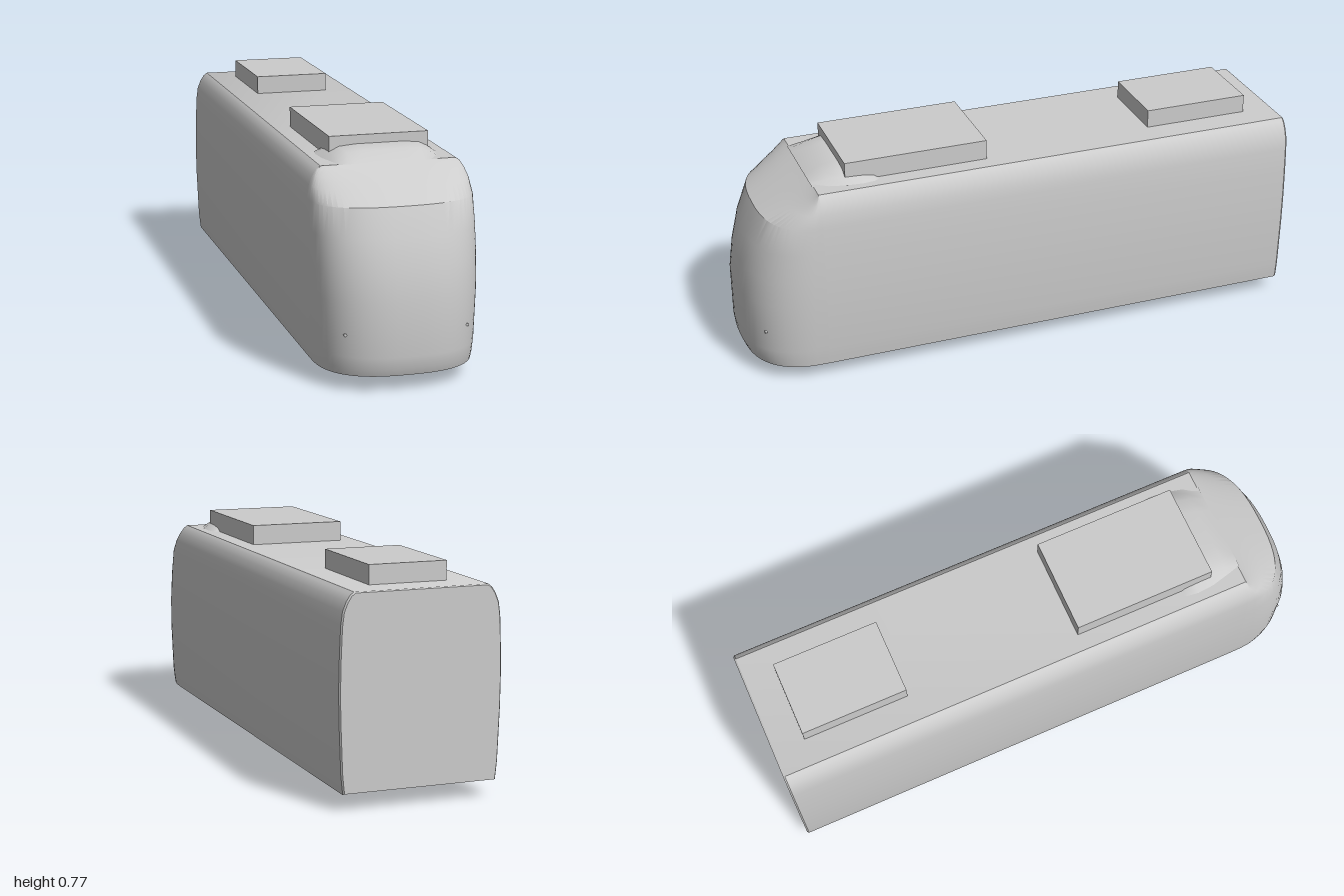
import * as THREE from 'three';
import { toCreasedNormals } from 'three/addons/utils/BufferGeometryUtils.js';

// Half section of the car: half width, height, and how far the nose reaches there
const SECTION = [
  [0.265, 0.055, 0.985], [0.268, 0.08, 0.995], [0.272, 0.12, 1], [0.279, 0.3, 1],
  [0.28, 0.4, 0.985], [0.278, 0.5, 0.96], [0.274, 0.595, 0.92], [0.268, 0.64, 0.843],
  [0.256, 0.67, 0.791], [0.243, 0.69, 0.757], [0.23, 0.7, 0.74],
];
const NOSE_Z = 0.74, BACK_Z = -1, FLOOR_Y = 0.055, ROOF_Y = 0.7;

// Skin over rows of points; outside is on (along row) x (row to row)
function loft(rows, crease = 0.6) {
  const n = rows[0].length, index = [];
  for (let i = 0; i < rows.length - 1; i++) {
    for (let j = 0; j < n - 1; j++) {
      const a = i * n + j, d = a + n;
      index.push(a, a + 1, d + 1, a, d + 1, d);
    }
  }
  const g = new THREE.BufferGeometry();
  g.setAttribute('position', new THREE.Float32BufferAttribute(rows.flat(2), 3));
  g.setIndex(index);
  return toCreasedNormals(g, crease);
}

// Point on the rounded plan of the nose; t runs 0..1 from -x to +x
function nosePoint([w, y, zf], t) {
  const a = Math.PI * (1 - t), e = 2 / 2.6;
  const c = Math.cos(a), s = Math.max(0, Math.sin(a));
  return [w * Math.sign(c) * Math.abs(c) ** e, y, NOSE_Z + (zf - NOSE_Z) * s ** e];
}

export function createModel() {
  const model = new THREE.Group();
  const grey = new THREE.MeshStandardMaterial({ color: 0xcccccc });
  grey.name = 'bodyGrey';
  const add = (name, geometry, x = 0, y = 0, z = 0) => {
    const mesh = new THREE.Mesh(geometry, grey);
    mesh.name = name;
    mesh.position.set(x, y, z);
    model.add(mesh);
    return mesh;
  };

  // Sides and roof, with a tiny bevel at the back
  const outline = [
    ...SECTION.map(([w, y]) => [w, y]),
    ...SECTION.map(([w, y]) => [-w, y]).reverse(),
  ];
  const inset = outline.map(([x, y]) => [x * 0.985, 0.38 + (y - 0.38) * 0.99]);
  const ring = (pts, z) => pts.map(([x, y]) => [x, y, z]);
  add('bodyShell', loft([ring(inset, BACK_Z), ring(outline, BACK_Z + 0.006), ring(outline, NOSE_Z)]));

  // Flat back wall
  const wall = new THREE.Shape(inset.map(([x, y]) => new THREE.Vector2(x, y)));
  add('backWall', new THREE.ShapeGeometry(wall).rotateY(Math.PI), 0, 0, BACK_Z);

  // Rounded nose with sloped windscreen
  const steps = 32;
  add('nose', loft(SECTION.map((s) => Array.from({ length: steps + 1 }, (_, j) => nosePoint(s, j / steps)))));

  // Floor with a slot above each wheel
  const edge = Array.from({ length: steps + 1 }, (_, j) => nosePoint(SECTION[0], j / steps));
  const floor = new THREE.Shape([
    new THREE.Vector2(-0.265, BACK_Z), new THREE.Vector2(0.265, BACK_Z),
    ...edge.reverse().map(([x, , z]) => new THREE.Vector2(x, z)),
  ]);
  for (const side of [-1, 1]) {
    for (const z of [-0.01, -0.39]) {
      const [x0, x1] = side > 0 ? [0.15, 0.19] : [-0.19, -0.15];
      floor.holes.push(new THREE.Path([
        new THREE.Vector2(x0, z - 0.062), new THREE.Vector2(x0, z + 0.062),
        new THREE.Vector2(x1, z + 0.062), new THREE.Vector2(x1, z - 0.062),
      ]));
      // Eight-sided wheel standing on a corner
      const wheel = new THREE.CylinderGeometry(0.06, 0.06, 0.02, 8).toNonIndexed();
      wheel.rotateZ(Math.PI / 2);
      wheel.computeVertexNormals();
      add('wheel', wheel, side * 0.16, 0.06, z);
    }
    // Small front lamps
    const lamp = new THREE.CylinderGeometry(0.005, 0.005, 0.008, 12).rotateX(Math.PI / 2);
    add('lamp', lamp, side * 0.205, 0.193, 0.944);
  }
  add('floor', new THREE.ShapeGeometry(floor).rotateX(Math.PI / 2), 0, FLOOR_Y, 0);

  // Low roof fairing behind the windscreen: z, half width, height above the roof
  const bump = [[-1, 0], [-0.86, 0.5], [-0.7, 0.88], [-0.4, 1], [0.4, 1], [0.7, 0.88], [0.86, 0.5], [1, 0]].reverse();
  const fairing = [
    [0.515, 0.185, 0], [0.53, 0.195, 0.022], [0.57, 0.2, 0.03], [0.63, 0.195, 0.04],
    [0.69, 0.18, 0.03], [0.745, 0.165, 0],
  ];
  add('roofFairing', loft(fairing.map(([z, w, h]) => bump.map(([x, y]) => [x * w, ROOF_Y + y * h, z])), 0.9));

  // Roof equipment boxes
  add('frontRoofBox', new THREE.BoxGeometry(0.34, 0.07, 0.51), 0, 0.735, 0.375);
  add('rearRoofBox', new THREE.BoxGeometry(0.27, 0.065, 0.38), 0, 0.7325, -0.695);

  return model;
}
